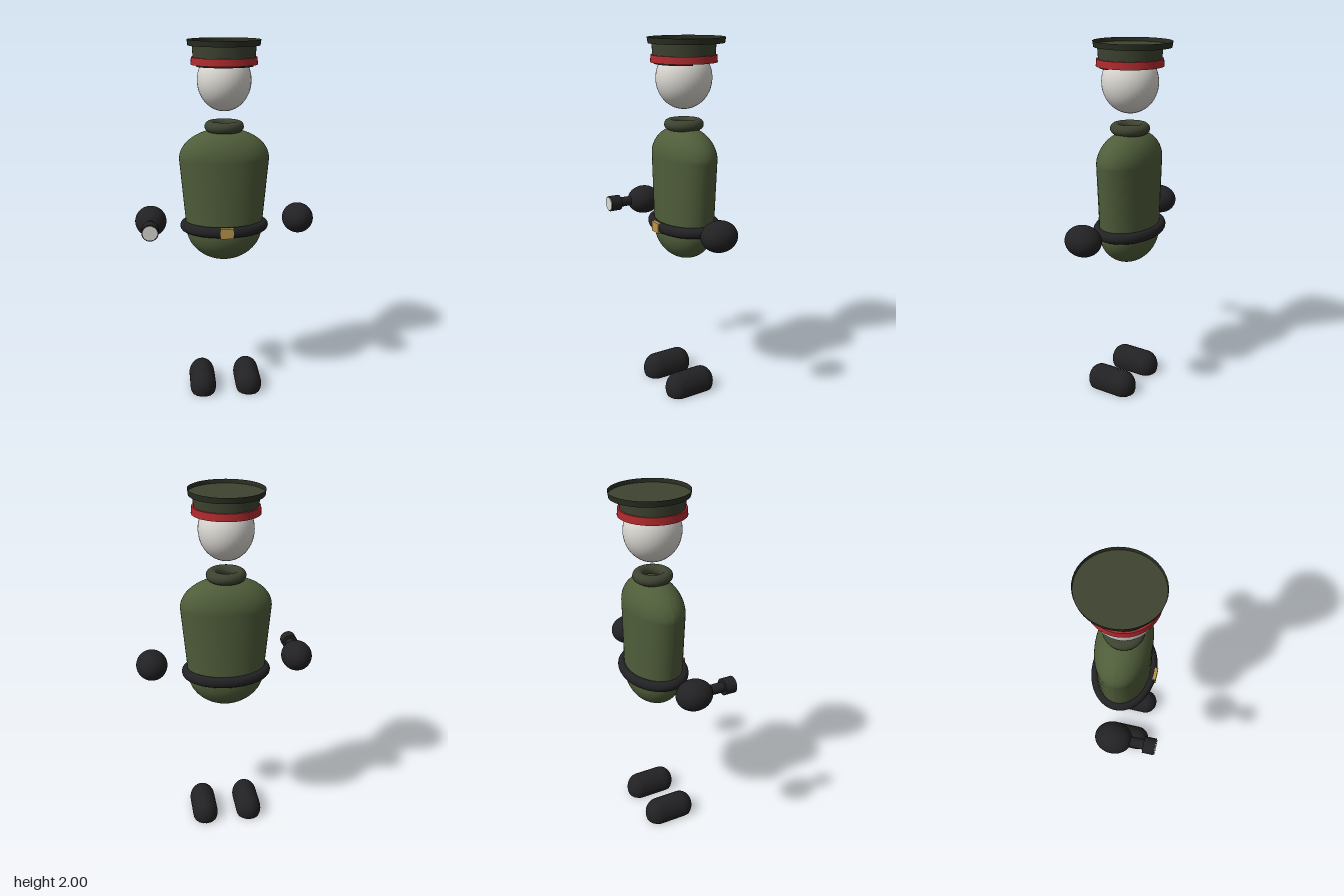
import * as THREE from 'three';

const mat = (name, color, side = THREE.FrontSide) => {
  const m = new THREE.MeshStandardMaterial({ color, side });
  m.name = name;
  return m;
};

export function createModel() {
  const green = mat('tunic green', 0x4f5d3a);
  const olive = mat('dark olive', 0x3d4330);
  const rimOlive = mat('rim olive', 0x2a2e22, THREE.DoubleSide);
  const black = mat('black', 0x222224);
  const red = mat('red', 0xb02a2e);
  const skin = mat('pale', 0xdcd9d3);
  const gold = mat('gold', 0xb8964a);
  const model = new THREE.Group();
  model.name = 'officer';

  const add = (name, geo, material, x, y, z, sx = 1, sy = 1, sz = 1) => {
    const m = new THREE.Mesh(geo, material);
    m.name = name;
    m.position.set(x, y, z);
    m.scale.set(sx, sy, sz);
    model.add(m);
    return m;
  };
  const ball = new THREE.SphereGeometry(1, 40, 28);
  const cyl = (rt, rb, h, open = false) => new THREE.CylinderGeometry(rt, rb, h, 48, 1, open);
  const cz = -0.023;

  // Torso: a capsule that widens sideways towards the shoulders
  const torso = new THREE.CapsuleGeometry(0.165, 0.415, 16, 48);
  const p = torso.attributes.position;
  for (let i = 0; i < p.count; i++) {
    const t = THREE.MathUtils.clamp((p.getY(i) + 0.21) / 0.42, -0.3, 1);
    p.setX(i, p.getX(i) * (1.27 + 0.23 * t));
    p.setZ(i, p.getZ(i) * 0.89);
  }
  torso.computeVertexNormals();
  add('torso', torso, green, 0, 1.162, cz);

  // Collar, belt and buckle
  const collar = new THREE.TorusGeometry(0.077, 0.03, 16, 40).rotateX(Math.PI / 2);
  add('collar', collar, olive, 0, 1.545, cz);
  const belt = new THREE.TorusGeometry(0.217, 0.03, 16, 64).rotateX(Math.PI / 2);
  add('belt', belt, black, 0, 0.99, cz, 1, 1, 0.74);
  add('buckle', new THREE.BoxGeometry(0.072, 0.056, 0.03), gold, 0, 0.99, 0.147);

  // Head and cap
  add('head', ball, skin, 0, 1.79, cz, 0.145, 0.163, 0.153);
  add('capBand', cyl(0.175, 0.178, 0.038), red, 0, 1.892, cz);
  add('capSide', cyl(0.17, 0.166, 0.062), olive, 0, 1.941, cz);
  add('capRim', cyl(0.196, 0.192, 0.03, true), rimOlive, 0, 1.985, -0.038, 1, 1, 1.075);
  add('capCrown', cyl(0.193, 0.191, 0.006), olive, 0, 1.976, -0.038, 1, 1, 1.075);
  const visor = new THREE.CylinderGeometry(0.15, 0.15, 0.012, 32, 1, false, -Math.PI / 2, Math.PI);
  add('visor', visor, black, 0, 1.871, 0.015, 1, 1, 0.8);

  // Shoes: capsules lying front to back, flattened underneath
  const shoe = new THREE.CapsuleGeometry(0.075, 0.148, 14, 36).rotateX(Math.PI / 2);
  const s = shoe.attributes.position;
  for (let i = 0; i < s.count; i++) s.setY(i, Math.max(0, s.getY(i) * 1.2 + 0.04));
  shoe.computeVertexNormals();

  for (const side of [-1, 1]) {
    const label = side > 0 ? 'left' : 'right';
    add(label + 'Shoe', shoe, black, side * 0.133, 0, 0.017);
    add(label + 'Hand', ball, black, side * 0.41, 1.03, 0.012, 0.086, 0.083, 0.1);
  }

  // Torch held in the right hand
  const rod = (name, r, z0, z1, material) =>
    add(name, cyl(r, r, z1 - z0).rotateX(Math.PI / 2), material, -0.412, 1.033, (z0 + z1) / 2);
  rod('torchHandle', 0.028, 0.05, 0.18, black);
  rod('torchHead', 0.045, 0.177, 0.241, black);
  rod('torchLens', 0.039, 0.24, 0.245, skin);

  return model;
}
